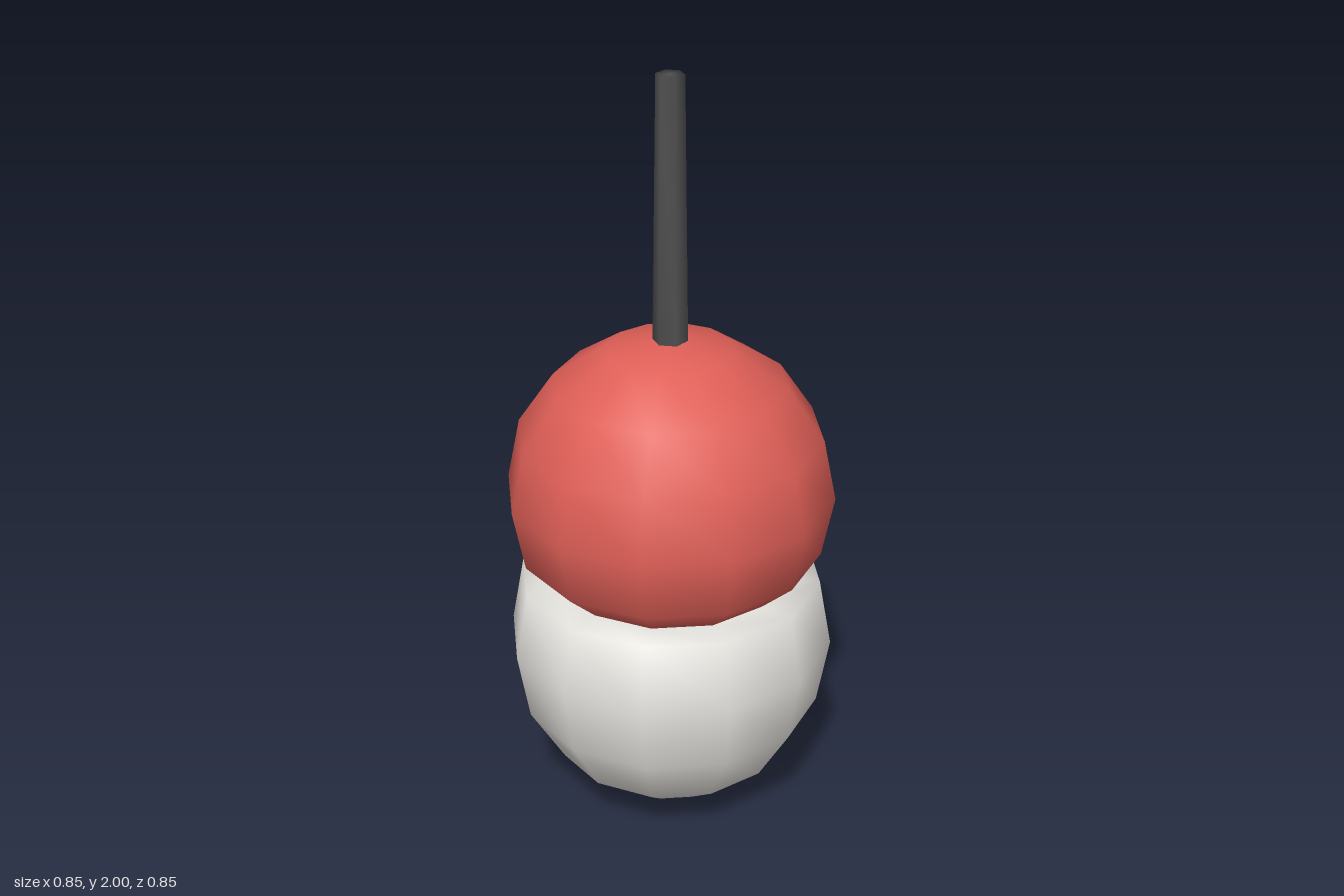
import * as THREE from 'three';
import { mergeVertices } from 'three/addons/utils/BufferGeometryUtils.js';

const material = (name, color) => {
  const m = new THREE.MeshStandardMaterial({ color });
  m.name = name;
  return m;
};

// Turned solid, smoothed across the seam, poles and corners; profile runs bottom to top.
function turned(name, profile, sides, mat) {
  const points = profile.map(([r, y]) => new THREE.Vector2(r, y));
  const lathe = new THREE.LatheGeometry(points, sides, Math.PI / 2);
  lathe.deleteAttribute('normal');
  lathe.deleteAttribute('uv');
  const geometry = mergeVertices(lathe, 1e-4);
  geometry.computeVertexNormals();
  const mesh = new THREE.Mesh(geometry, mat);
  mesh.name = name;
  return mesh;
}

// Eight-step ball outline, flattened where it passes the joint.
function ballProfile(radius, height, centerY, flatten) {
  return Array.from({ length: 9 }, (_, i) => {
    const a = (i / 8) * Math.PI;
    const r = i % 8 === 0 ? 0 : radius * Math.sin(a);
    return [r, flatten(centerY - height * Math.cos(a))];
  });
}

export function createModel() {
  const group = new THREE.Group();
  group.name = 'fishingFloat';
  const jointY = 0.655;
  const red = material('red', 0xdf5f57);
  const white = material('white', 0xe6e4df);
  const dark = material('darkGrey', 0x505050);

  // Lower white bowl with a flat top
  group.add(turned('lowerBody', ballProfile(0.427, 0.472, 0.474, (y) => Math.min(y, jointY)), 12, white));

  // Upper red ball with a flat underside
  group.add(turned('upperBody', ballProfile(0.427, 0.423, 0.9, (y) => Math.max(y, jointY)), 12, red));

  // Tapered six-sided stem
  group.add(turned('stem', [[0, 1.315], [0.045, 1.315], [0.036, 2], [0, 2]], 6, dark));

  return group;
}
